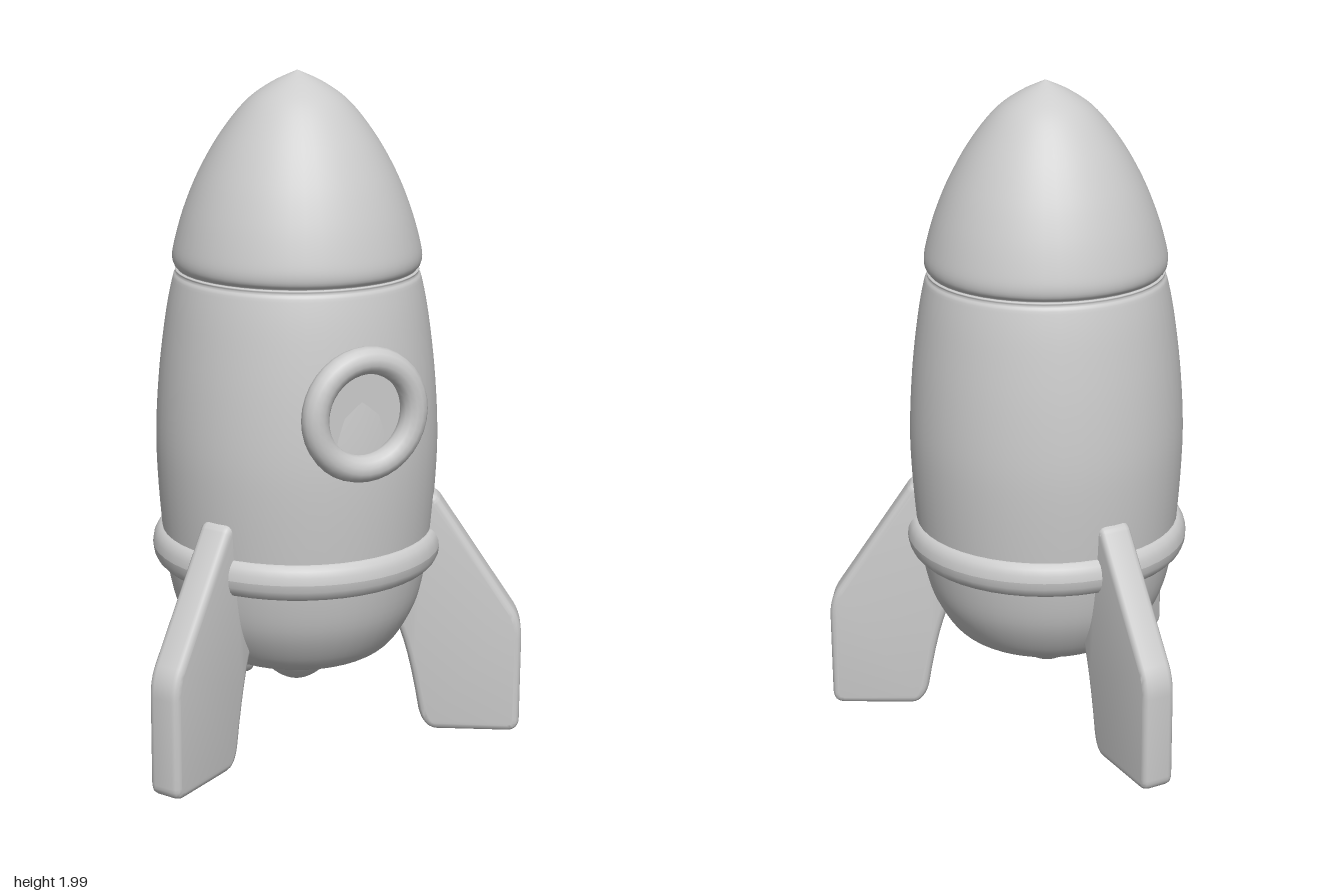
import * as THREE from 'three';
import { toCreasedNormals } from 'three/addons/utils/BufferGeometryUtils.js';

const grey = new THREE.MeshStandardMaterial({ color: 0xcccccc });
grey.name = 'grey';

const toVectors = (pairs) => pairs.map(([r, y]) => new THREE.Vector2(r, y));

function addMesh(parent, name, geometry) {
  const mesh = new THREE.Mesh(geometry, grey);
  mesh.name = name;
  parent.add(mesh);
  return mesh;
}

// Smooth solid of revolution from a few (radius, height) points, bottom to top
function turned(pairs, divisions) {
  const points = new THREE.SplineCurve(toVectors(pairs)).getPoints(divisions);
  points.forEach((p) => { p.x = Math.max(p.x, 0); });
  return new THREE.LatheGeometry(points, 48);
}

function finGeometry() {
  const bevel = 0.02;
  const shape = new THREE.Shape();
  shape.moveTo(0.3, 0.36);
  shape.quadraticCurveTo(0.34, 0.28, 0.375, 0.07);
  shape.quadraticCurveTo(0.39, 0.01, 0.43, 0.008);
  shape.lineTo(0.645, 0.008);
  shape.quadraticCurveTo(0.68, 0.01, 0.68, 0.045);
  shape.lineTo(0.68, 0.31);
  shape.quadraticCurveTo(0.68, 0.36, 0.655, 0.4);
  shape.lineTo(0.43, 0.738);
  shape.quadraticCurveTo(0.42, 0.755, 0.4, 0.755);
  shape.lineTo(0.34, 0.755);
  shape.closePath();
  const geometry = new THREE.ExtrudeGeometry(shape, {
    depth: 0.1 - 2 * bevel, bevelEnabled: true, bevelSize: bevel, bevelThickness: bevel,
    bevelOffset: -bevel, bevelSegments: 3, curveSegments: 6,
  });
  geometry.translate(0, 0, -0.05 + bevel);
  return toCreasedNormals(geometry, 0.6);
}

export function createModel() {
  const model = new THREE.Group();
  model.name = 'rocket';
  const rocket = new THREE.Group();
  rocket.name = 'rocketBody';
  rocket.position.z = 0.11; // the hull axis sits in front of the centre
  model.add(rocket);

  // Hull with a rounded bottom and shoulder
  addMesh(rocket, 'hull', turned([
    [0, 0.262], [0.12, 0.26], [0.21, 0.262], [0.27, 0.283], [0.315, 0.33], [0.362, 0.42],
    [0.388, 0.53], [0.402, 0.65], [0.414, 0.82], [0.416, 0.96], [0.405, 1.13],
    [0.385, 1.29], [0.366, 1.39], [0.354, 1.42], [0.32, 1.435], [0, 1.437],
  ], 64));

  // Nose cone with a rolled lower rim
  addMesh(rocket, 'noseCone', turned([
    [0, 1.431], [0.31, 1.431], [0.35, 1.436], [0.363, 1.465], [0.354, 1.52], [0.327, 1.61],
    [0.285, 1.71], [0.225, 1.815], [0.15, 1.91], [0.075, 1.965], [0, 2.0],
  ], 48));

  // Exhaust bulb under the hull
  addMesh(rocket, 'nozzle', turned([
    [0, 0.155], [0.035, 0.16], [0.075, 0.185], [0.108, 0.222], [0.135, 0.27], [0.13, 0.3],
  ], 20));

  // Flattened band around the hull
  const band = [];
  for (let i = 0; i <= 16; i++) {
    const a = (i / 16) * Math.PI * 2;
    band.push(new THREE.Vector2(0.395 + 0.036 * Math.cos(a), 0.598 + 0.055 * Math.sin(a)));
  }
  addMesh(rocket, 'band', new THREE.LatheGeometry(band, 48));

  // Porthole: frame and pane
  const frame = addMesh(rocket, 'portholeFrame', new THREE.TorusGeometry(0.156, 0.039, 14, 36));
  frame.position.set(0, 1.087, 0.425);
  const pane = addMesh(rocket, 'portholePane', new THREE.CylinderGeometry(0.14, 0.14, 0.008, 32));
  pane.rotation.x = Math.PI / 2;
  pane.position.set(0, 1.087, 0.402);

  // Three fins: one at the back, two at the front corners
  const fin = finGeometry();
  [['backFin', 90], ['leftFin', -30], ['rightFin', 210]].forEach(([name, degrees]) => {
    addMesh(rocket, name, fin).rotation.y = THREE.MathUtils.degToRad(degrees);
  });

  return model;
}
